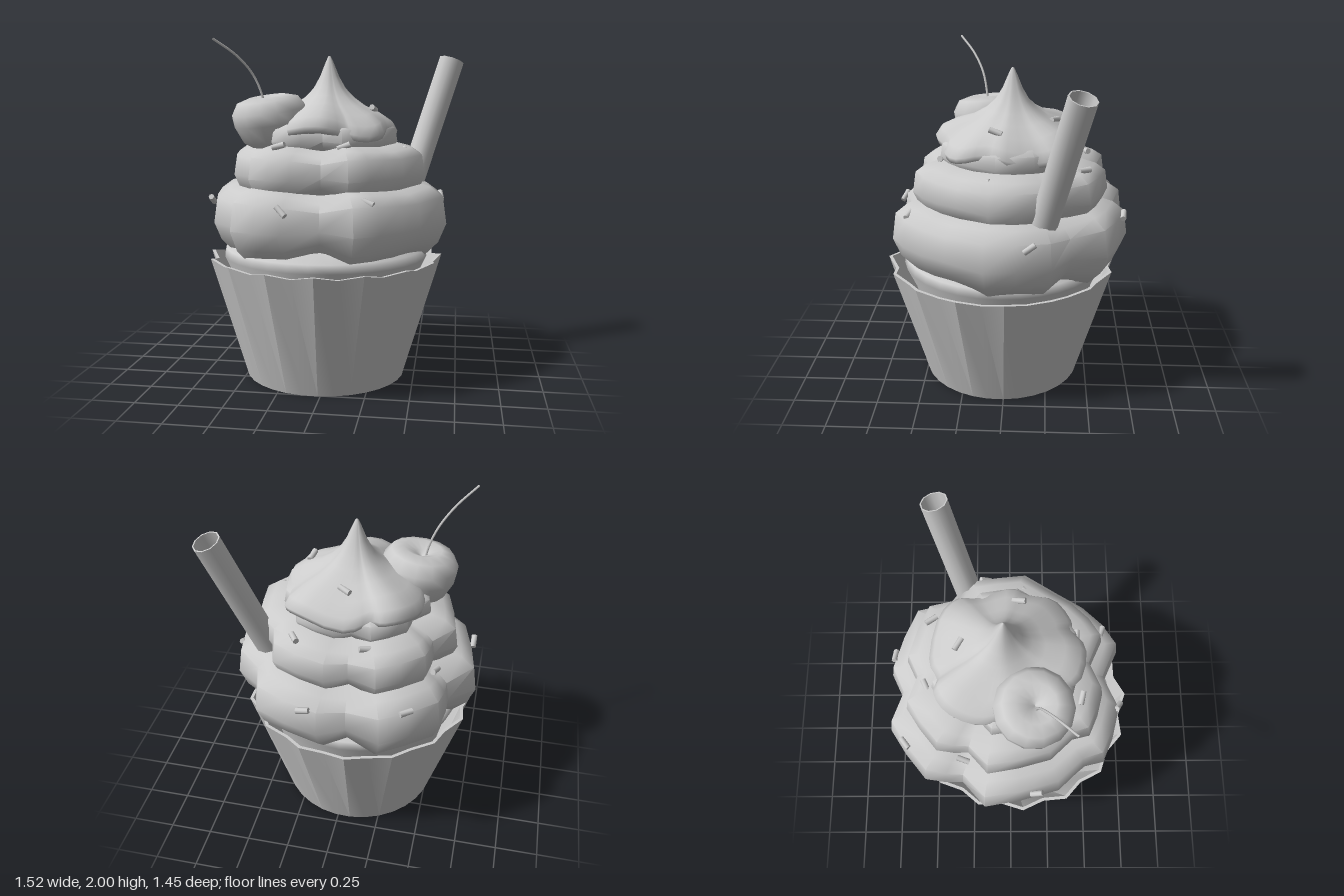
import * as THREE from 'three';
import { toCreasedNormals } from 'three/addons/utils/BufferGeometryUtils.js';

const V = (x, y, z) => new THREE.Vector3(x, y, z);
const pts2 = (list) => list.map(([x, y]) => new THREE.Vector2(x, y));

// Skin a lobed outline (offsets from its centre) along a profile of [scale, height];
// lobes fade to a circle towards the centre, and dips between lobes are pinched in height around yMid.
function loft(outline, profile, yMid, pinch) {
  const n = outline.length, m = profile.length;
  const radii = outline.map(([x, z]) => Math.hypot(x, z));
  const mean = radii.reduce((a, b) => a + b) / n;
  const pos = [], idx = [];
  outline.forEach(([x, z], i) => {
    for (const [s, y] of profile) {
      const k = s * (1 + (1 - s) * (mean / radii[i] - 1));
      const f = 1 + pinch * s * (radii[i] / mean - 1);
      pos.push(x * k, yMid + (y - yMid) * f, z * k);
    }
    for (let j = 0; j < m - 1; j++) {
      const a = i * m + j, b = ((i + 1) % n) * m + j;
      idx.push(a, a + 1, b, b, a + 1, b + 1);
    }
  });
  const g = new THREE.BufferGeometry();
  g.setAttribute('position', new THREE.Float32BufferAttribute(pos, 3));
  g.setIndex(idx);
  g.computeVertexNormals();
  return g;
}

export function createModel() {
  const group = new THREE.Group();
  const material = new THREE.MeshStandardMaterial({ color: 0xcccccc, side: THREE.DoubleSide });
  const add = (name, geometry, x = 0, y = 0, z = 0) => {
    const mesh = new THREE.Mesh(geometry, material);
    mesh.name = name;
    mesh.position.set(x, y, z);
    group.add(mesh);
    return mesh;
  };

  // Pleated paper wrapper: every second rim corner is pulled in and down
  const rim = pts2([[0, 0], [0.48, 0], [0.7, 0.735], [0.68, 0.735], [0.46, 0.03]]);
  const paper = new THREE.LatheGeometry(rim, 32);
  const p = paper.attributes.position;
  for (let i = 0; i < p.count; i++) {
    const segment = Math.floor(i / rim.length);
    if (segment % 2 && p.getY(i) > 0.5) {
      p.setXYZ(i, p.getX(i) * 0.94, p.getY(i) - 0.025, p.getZ(i) * 0.94);
    }
  }
  add('wrapper', toCreasedNormals(paper, 0.4), -0.045, 0, 0.03).rotation.y = 0.065;

  // Cake showing just above the wrapper
  add('cake', new THREE.LatheGeometry(pts2([
    [0.44, 0.1], [0.55, 0.6], [0.61, 0.73], [0.6, 0.78], [0.5, 0.82], [0, 0.85]]), 32), -0.045, 0, 0.02);

  // Piped cream: the same lobed ring, smaller on each tier
  const lobes = [
    [-0.765, -0.15], [-0.62, -0.28], [-0.62, -0.38], [-0.6, -0.5], [-0.45, -0.62], [-0.3, -0.715],
    [-0.1, -0.65], [0.05, -0.72], [0.25, -0.66], [0.43, -0.58], [0.49, -0.38], [0.63, -0.27],
    [0.66, -0.08], [0.675, 0.1], [0.54, 0.32], [0.45, 0.46], [0.33, 0.58], [0.2, 0.66],
    [0, 0.57], [-0.2, 0.65], [-0.36, 0.61], [-0.5, 0.55], [-0.53, 0.43], [-0.67, 0.28], [-0.73, 0.06],
  ].map(([x, z]) => [x + 0.045, z + 0.03]);
  const rope = [[0.5, 0.08], [0.83, 0], [0.94, 0.19], [1, 0.43], [0.97, 0.77], [0.87, 0.89], [0.72, 0.96], [0.5, 1], [0, 1]];
  [[1, 0.76, 1.18], [0.82, 1.08, 1.4], [0.59, 1.33, 1.53]].forEach(([s, y0, y1], i) => {
    const outline = lobes.map(([x, z]) => [x * s, z * s]);
    const profile = rope.map(([r, t]) => [r, y0 + t * (y1 - y0)]);
    add('creamTier' + (i + 1), toCreasedNormals(loft(outline, profile, (y0 + y1) / 2, 2.2), 1), -0.04, 0, -0.03);
  });

  // Cream cap with a wavy brim and a pointed peak
  const brim = new THREE.CatmullRomCurve3([
    [-0.43, -0.2], [-0.36, -0.36], [-0.25, -0.42], [-0.18, -0.4], [-0.07, -0.45], [0.2, -0.4],
    [0.32, -0.3], [0.33, -0.2], [0.38, 0], [0.33, 0.1], [0.31, 0.25], [0.18, 0.34],
    [0.12, 0.34], [0, 0.41], [-0.19, 0.37], [-0.24, 0.25], [-0.3, 0.1], [-0.41, -0.05],
  ].map(([x, z]) => V(x + 0.03, 0, z + 0.04)), true);
  const brimPoints = brim.getPoints(48).slice(0, 48).map((q) => [q.x, q.z]);
  const cap = loft(brimPoints, [[0.4, 1.48], [0.85, 1.45], [0.98, 1.46], [1, 1.49], [0.93, 1.54], [0.75, 1.585],
    [0.52, 1.625], [0.36, 1.67], [0.24, 1.72], [0.14, 1.79], [0.06, 1.87], [0.02, 1.905], [0, 1.91]], 1.5, 0.6);
  // Brim ripples, dropping slightly towards +x
  const c = cap.attributes.position;
  for (let i = 0; i < c.count; i++) {
    const x = c.getX(i), z = c.getZ(i), reach = Math.min(1, Math.hypot(x, z) / 0.38);
    c.setY(i, c.getY(i) + reach * reach * 0.022 * Math.sin(5 * Math.atan2(z, x)) - 0.06 * x * reach);
  }
  cap.computeVertexNormals();
  add('creamCap', cap, -0.03, 0, -0.035);

  // Cherry with a dimple and a curved stem
  add('cherry', new THREE.LatheGeometry(pts2([
    [0, -0.17], [0.1, -0.165], [0.175, -0.11], [0.215, -0.01], [0.22, 0.06], [0.18, 0.125],
    [0.11, 0.145], [0.04, 0.115], [0, 0.09]]), 14), -0.357, 1.53, 0.12).rotation.set(0.1, 0, 0.12);
  const stem = new THREE.CatmullRomCurve3([
    V(-0.385, 1.59, 0.13), V(-0.405, 1.69, 0.14), V(-0.45, 1.8, 0.165), V(-0.53, 1.905, 0.225), V(-0.64, 1.995, 0.315)]);
  add('cherryStem', new THREE.TubeGeometry(stem, 14, 0.007, 6));

  // Hollow straw leaning out of the cream
  const from = V(0.412, 1.0, -0.19), to = V(0.687, 1.89, -0.405);
  const axis = to.clone().sub(from), half = axis.length() / 2;
  const tube = new THREE.LatheGeometry(pts2([[0.079, -half], [0.079, half], [0.071, half], [0.071, -half]]), 10);
  const straw = add('straw', toCreasedNormals(tube, 0.8));
  straw.position.copy(from).lerp(to, 0.5);
  straw.quaternion.setFromUnitVectors(V(0, 1, 0), axis.normalize());

  // Sprinkles: position, then direction
  const sprinkle = toCreasedNormals(new THREE.CylinderGeometry(0.017, 0.017, 0.075, 8), 0.8);
  [
    [-0.42, 1.1, -0.61, 1, 0, -0.8], [0.13, 1.08, -0.69, 1, -0.3, 0.1], [-0.53, 1.14, -0.27, 0.3, 0.3, -1],
    [-0.17, 1.38, -0.47, 1, 0.2, -0.5], [0.23, 1.38, -0.45, 0.7, 0, 1], [0.64, 1.07, -0.15, 0.2, -0.7, 1],
    [0.415, 1.36, 0.1, 0.6, 0.4, -1], [0.245, 1.6, 0.05, 0.2, -0.3, -1], [0.045, 1.645, 0.08, 0.6, -0.9, 0.7],
    [-0.015, 1.61, -0.28, 1, 0.1, 0.6], [-0.71, 1.06, 0.15, 0, 0.6, 1], [-0.25, 1.4, 0.395, 1, 0.3, 0.2],
    [0.115, 1.4, 0.375, 1, 0.4, 0], [0.265, 1.115, 0.55, 1, -0.3, 0.3], [-0.19, 1.07, 0.64, 0.9, -0.8, 0.5],
  ].forEach(([x, y, z, dx, dy, dz], i) => {
    const mesh = add('sprinkle' + (i + 1), sprinkle, x, y, z);
    mesh.quaternion.setFromUnitVectors(V(0, 1, 0), V(dx, dy, dz).normalize());
  });

  return group;
}
